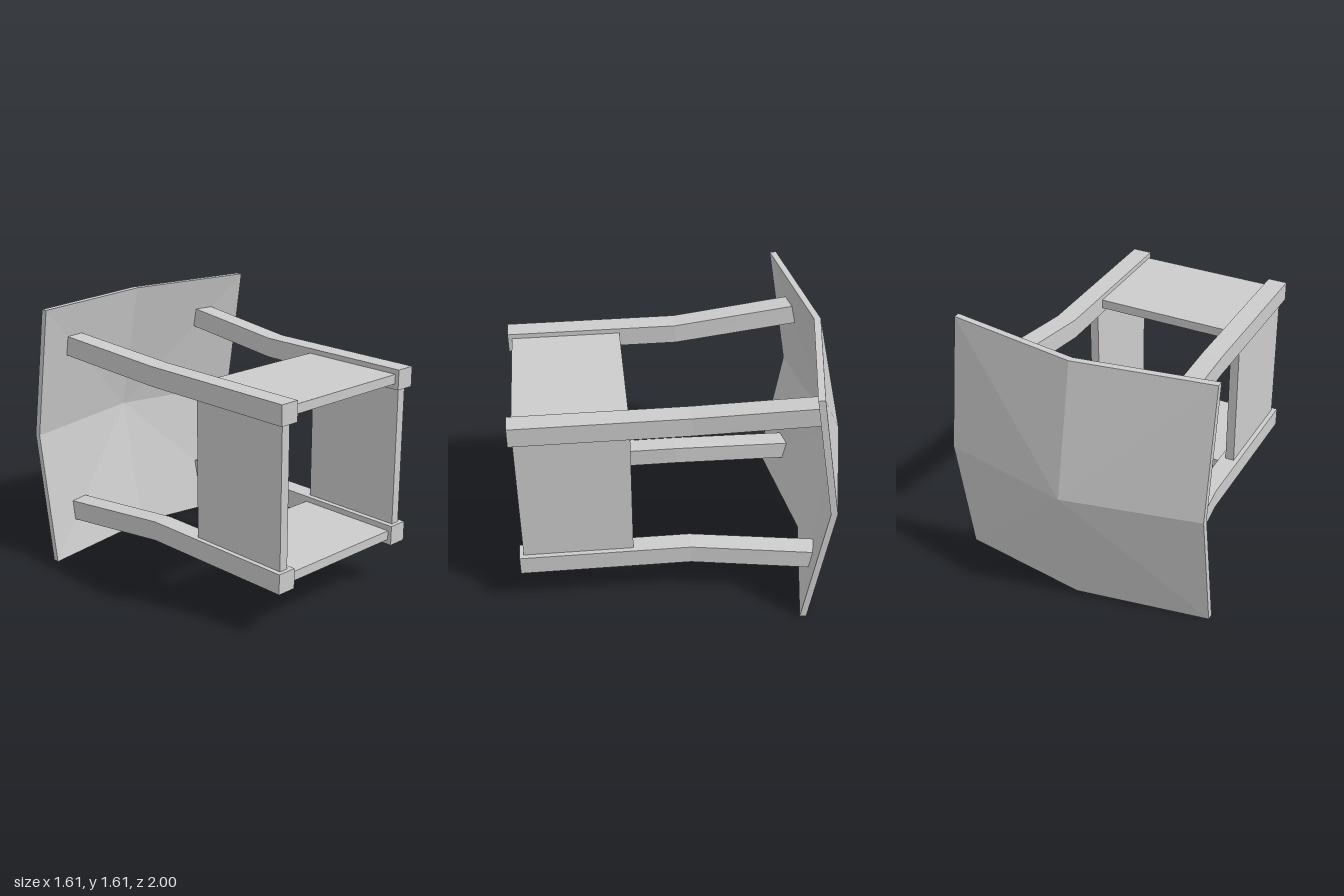
import * as THREE from 'three';

const MID = 0.807;    // height of the central axis
const HALF = 0.805;   // half width of the back plate
const THICK = 0.04;   // plate thickness along z
const material = new THREE.MeshStandardMaterial({ color: 0xcccccc, flatShading: true });

// Depth of the plate's inner face, a shallow eight-sided pyramid
function plateZ(x, y) {
  const a = Math.abs(x) / HALF, b = Math.abs(y) / HALF;
  return -0.96 + 0.17 * Math.max(a, b) + 0.13 * Math.min(a, b);
}

// Dished plate: a fan on each face and a rim joining them
function plateGeometry() {
  const ring = [[1, 0], [1, 1], [0, 1], [-1, 1], [-1, 0], [-1, -1], [0, -1], [1, -1]]
    .map(([x, y]) => [x * HALF, y * HALF]);
  const front = ([x, y]) => [x, y, plateZ(x, y)];
  const back = ([x, y]) => [x, y, plateZ(x, y) - THICK];
  const centre = [0, 0];
  const pos = [];
  ring.forEach((p, i) => {
    const q = ring[(i + 1) % ring.length];
    pos.push(...front(centre), ...front(p), ...front(q));
    pos.push(...back(centre), ...back(q), ...back(p));
    pos.push(...back(p), ...back(q), ...front(q));
    pos.push(...back(p), ...front(q), ...front(p));
  });
  const geo = new THREE.BufferGeometry();
  geo.setAttribute('position', new THREE.Float32BufferAttribute(pos, 3));
  geo.computeVertexNormals();
  return geo;
}

// Square post, straight at the front and splayed outwards to meet the plate
function postGeometry(sx, sy) {
  const geo = new THREE.BoxGeometry(0.12, 0.12, 1, 1, 1, 2);
  const p = geo.attributes.position;
  for (let i = 0; i < p.count; i++) {
    const row = p.getZ(i);
    const splay = row < -0.25 ? 0.06 : 0;
    const x = p.getX(i) + sx * (0.48 + splay);
    const y = p.getY(i) + sy * (0.48 + splay);
    const z = row > 0.25 ? 1 : row < -0.25 ? plateZ(x, y) - THICK / 2 : -0.025;
    p.setXYZ(i, x, y, z);
  }
  geo.computeVertexNormals();
  return geo;
}

export function createModel() {
  const model = new THREE.Group();
  const add = (name, geo, x = 0, y = 0, z = 0) => {
    const mesh = new THREE.Mesh(geo, material);
    mesh.name = name;
    mesh.position.set(x, MID + y, z);
    model.add(mesh);
  };

  add('backPlate', plateGeometry());

  // Four posts
  for (const sx of [1, -1]) for (const sy of [1, -1]) {
    add(`${sy > 0 ? 'upper' : 'lower'}${sx > 0 ? 'Left' : 'Right'}Post`, postGeometry(sx, sy));
  }

  // Four panels between neighbouring posts
  for (const s of [1, -1]) {
    add(s > 0 ? 'leftPanel' : 'rightPanel', new THREE.BoxGeometry(0.056, 0.84, 0.655), s * 0.482, 0, 0.648);
    add(s > 0 ? 'topPanel' : 'bottomPanel', new THREE.BoxGeometry(0.84, 0.056, 0.655), 0, s * 0.482, 0.648);
  }
  return model;
}
